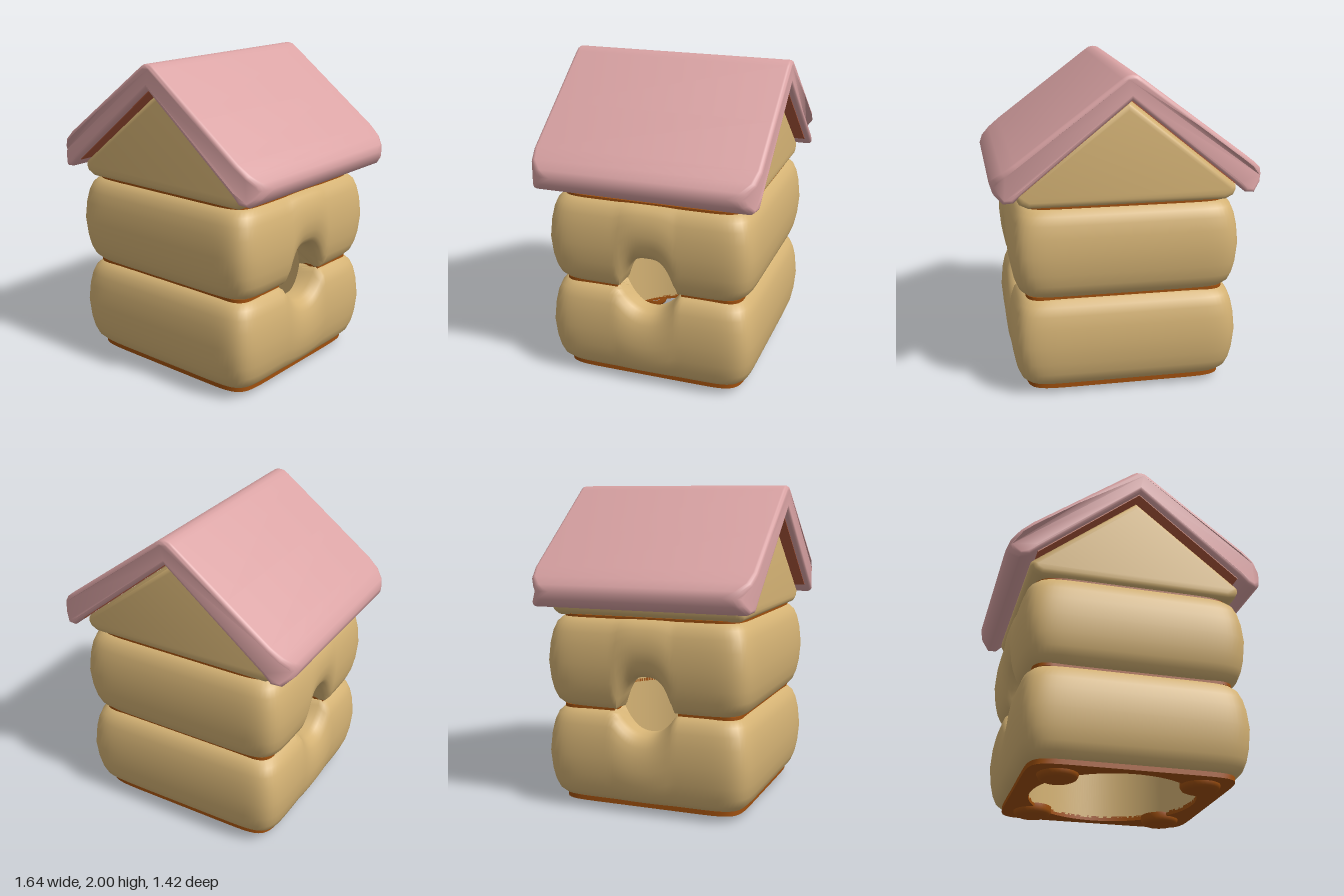
import * as THREE from 'three';
import { mergeVertices, toCreasedNormals } from 'three/addons/utils/BufferGeometryUtils.js';

const wood = new THREE.MeshStandardMaterial({ name: 'tan wood', color: 0xd4b274 });
const pink = new THREE.MeshStandardMaterial({ name: 'pink roof', color: 0xdaa3a4 });
const brown = new THREE.MeshStandardMaterial({ name: 'brown base', color: 0xa0500e });
const rust = new THREE.MeshStandardMaterial({ name: 'rust lining', color: 0xb0583c });

const HALF_X = 0.71, HALF_Z = 0.675, BORE = 0.52;

function add(parent, name, geometry, material) {
  const mesh = new THREE.Mesh(geometry, material);
  mesh.name = name;
  parent.add(mesh);
  return mesh;
}

// Smooth normals with sharp edges kept
function soften(geometry, angle = 0.9) {
  geometry.deleteAttribute('uv');
  geometry.deleteAttribute('normal');
  return toCreasedNormals(mergeVertices(geometry, 1e-4), angle);
}

// Distance from the centre to a rounded rectangle along one direction
function roundedRect(c, s, a, b, p = 10) {
  return Math.pow(Math.pow(Math.abs(c / a), p) + Math.pow(Math.abs(s / b), p), -1 / p);
}

// Pillow-edged square ring with a round bore; reshape(y, z) carves the doorway
function ringGeometry(profile, y0, h, reshape = (y) => y) {
  const N = 192, M = profile.length, pos = [], idx = [];
  for (let i = 0; i < N; i++) {
    const a = (i / N) * Math.PI * 2, c = Math.cos(a), s = Math.sin(a);
    profile.forEach(([inset, t, inner], j) => {
      const r = inner ? inset : roundedRect(c, s, HALF_X - inset, HALF_Z - inset);
      pos.push(c * r, reshape(y0 + t * h, s * r), s * r);
      const i2 = (i + 1) % N, j2 = (j + 1) % M;
      const p = i * M + j, q = i * M + j2, u = i2 * M + j, v = i2 * M + j2;
      idx.push(p, q, u, q, v, u);
    });
  }
  const g = new THREE.BufferGeometry();
  g.setAttribute('position', new THREE.Float32BufferAttribute(pos, 3));
  g.setIndex(idx);
  return toCreasedNormals(g, 0.9);
}

const edge = [[0.11, 0], [0.075, 0.025], [0.045, 0.08], [0.025, 0.17], [0.01, 0.3]];
const layerProfile = [
  ...edge, [0, 0.5], ...edge.map(([d, t]) => [d, 1 - t]).reverse(),
  [BORE, 1, true], [BORE, 0, true],
];
const plateProfile = [[0.085, 0], [0.085, 1], [BORE, 1, true], [BORE, 0, true]];

// Extrusion along z, centred, with bevels kept inside the outline
function prism(points, depth, bevel) {
  const shape = new THREE.Shape(points.map(([x, y]) => new THREE.Vector2(x, y)));
  const g = new THREE.ExtrudeGeometry(shape, {
    depth: depth - 2 * bevel, bevelEnabled: bevel > 0, bevelSize: bevel,
    bevelThickness: bevel, bevelOffset: -bevel, bevelSegments: 4,
  });
  return g.translate(0, 0, -(depth - 2 * bevel) / 2);
}

// Mirrors the +x half of an outline; end points lying on x = 0 stay single
const mirrored = (half) => half.concat(
  half.filter(([x]) => x > 0).map(([x, y]) => [-x, y]).reverse());

export function createModel() {
  const model = new THREE.Group();
  model.name = 'woodenHouse';

  // Lower and upper wall layers, each holding half of the doorway through x
  const low = 0.055, seam = 0.635, eave = 1.21;
  add(model, 'lowerWall', ringGeometry(layerProfile, low, seam - low, (y, z) => {
    const d = 0.14 * Math.max(0, 1 - Math.pow(Math.abs(z) / 0.2, 2.2));
    return low + (y - low) * (1 - d / (seam - low));
  }), wood);
  add(model, 'upperWall', ringGeometry(layerProfile, seam, eave - seam, (y, z) => {
    const d = 0.213 * Math.max(0, 1 - Math.pow(Math.abs(z) / 0.19, 3));
    return eave - (eave - y) * (1 - d / (eave - seam));
  }), wood);

  // Brown base plate and the thin plate below the gable
  add(model, 'basePlate', ringGeometry(plateProfile, 0.035, 0.03), brown);
  add(model, 'eavePlate', ringGeometry(plateProfile, 1.195, 0.02), brown);

  // Middle plate in two halves, open at the doorway
  const half = new THREE.Shape();
  half.moveTo(0.618, 0.21);
  half.lineTo(0.618, 0.48);
  half.quadraticCurveTo(0.618, 0.583, 0.51, 0.583);
  half.lineTo(-0.51, 0.583);
  half.quadraticCurveTo(-0.618, 0.583, -0.618, 0.48);
  half.lineTo(-0.618, 0.21);
  const start = Math.asin(0.21 / BORE);
  half.absarc(0, 0, BORE, Math.PI - start, start, true);
  const halfGeo = new THREE.ExtrudeGeometry(half, { depth: 0.02, bevelEnabled: false, curveSegments: 32 });
  halfGeo.rotateX(Math.PI / 2).translate(0, seam + 0.01, 0);
  add(model, 'seamPlateFront', halfGeo, brown);
  add(model, 'seamPlateBack', halfGeo, brown).rotation.y = Math.PI;

  // Four round feet
  const footProfile = [[0, 0], [0.09, 0], [0.112, 0.01], [0.122, 0.03], [0.122, 0.06]]
    .map(([x, y]) => new THREE.Vector2(x, y));
  const footGeo = new THREE.LatheGeometry(footProfile, 28);
  for (const x of [-0.43, 0.43]) for (const z of [-0.4, 0.4]) {
    add(model, 'foot', footGeo, brown).position.set(x, 0, z);
  }

  // Gable block under the roof
  add(model, 'gable', soften(prism(mirrored([
    [0, 1.83], [0.665, 1.3], [0.668, 1.27], [0.65, 1.235], [0.6, 1.21],
  ]), 1.23, 0.04)), wood);

  // Folded roof slab with rounded ridge, eaves and plan corners
  const roof = prism(mirrored([
    [0, 2.0], [0.03, 1.995], [0.06, 1.975], [0.4, 1.72], [0.68, 1.51], [0.75, 1.455],
    [0.8, 1.41], [0.82, 1.37], [0.802, 1.32], [0.75, 1.27], [0.69, 1.28], [0.64, 1.33], [0, 1.85],
  ]), 1.42, 0.025);
  const p = roof.attributes.position;
  for (let i = 0; i < p.count; i++) {
    const t = Math.min(1, Math.max(0, (Math.abs(p.getX(i)) - 0.68) / 0.14));
    p.setZ(i, p.getZ(i) * (1 - 0.21 * (1 - Math.sqrt(1 - t * t))));
  }
  add(model, 'roof', soften(roof, 1.0), pink);

  // Thin lining on the underside of the roof
  add(model, 'roofLining', prism(mirrored([
    [0, 1.851], [0.64, 1.331], [0.637, 1.325], [0, 1.843],
  ]), 1.34, 0), rust);

  return model;
}
